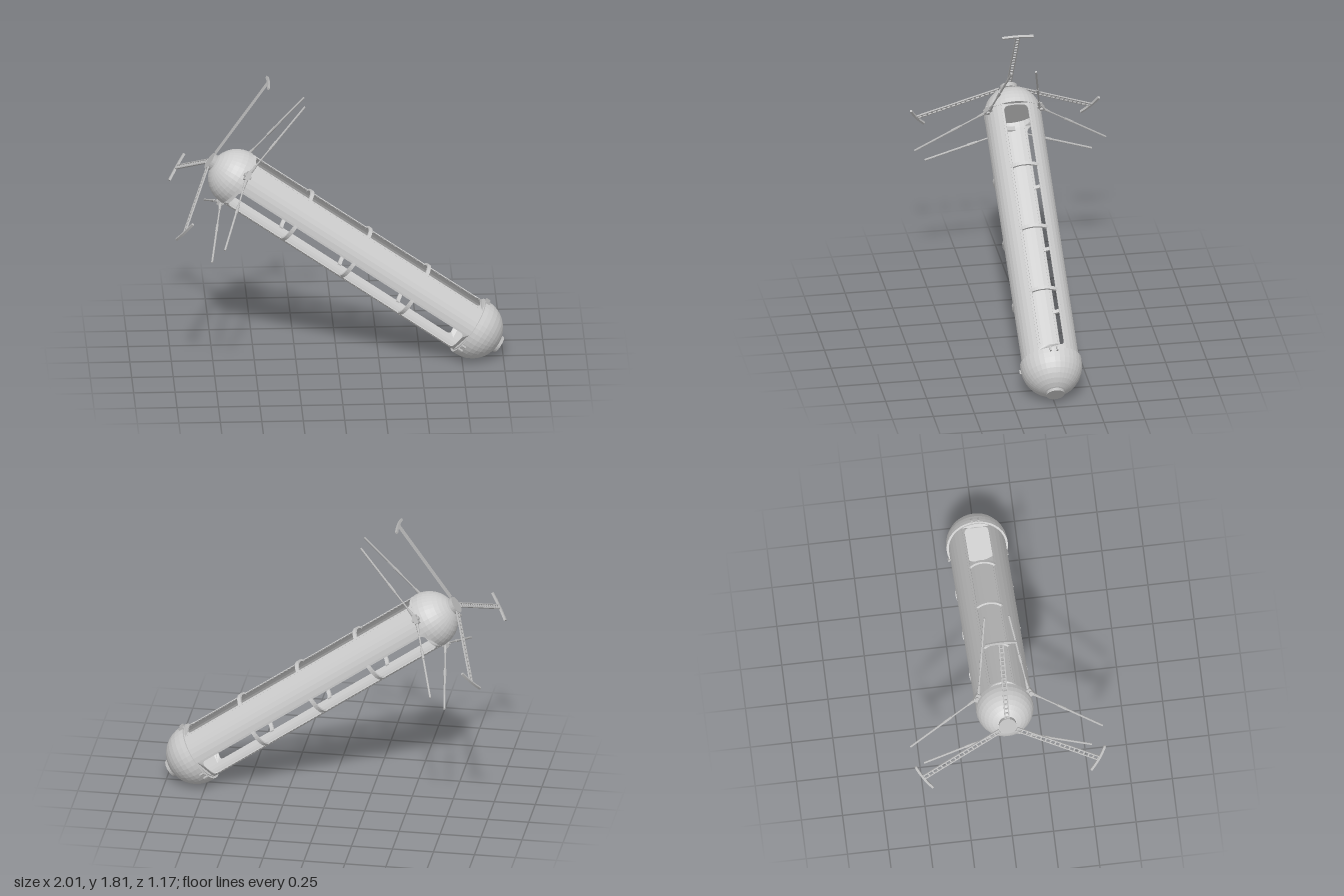
import * as THREE from 'three';

const R = 0.173;              // hull radius
const LEN = 1.735;            // distance between end-cap centres
const THIRD = Math.PI * 2 / 3;

const hull = new THREE.MeshStandardMaterial({ color: 0xcccccc, flatShading: true, side: THREE.DoubleSide });
hull.name = 'light grey hull';
const fitting = new THREE.MeshStandardMaterial({ color: 0xbababa, flatShading: true });
fitting.name = 'mid grey fittings';

function add(parent, name, geometry, material, x = 0, y = 0, z = 0) {
  const mesh = new THREE.Mesh(geometry, material);
  mesh.name = name;
  mesh.position.set(x, y, z);
  parent.add(mesh);
  return mesh;
}

// Curved slab around the Y axis, centred on +x, from y = 0 to y = height
function arcSlab(rIn, rOut, half, height, segments = 6) {
  const pts = [];
  for (let i = 0; i <= segments; i++) {
    const a = -half + 2 * half * i / segments;
    pts.push(new THREE.Vector2(rOut * Math.cos(a), rOut * Math.sin(a)));
  }
  for (let i = segments; i >= 0; i--) {
    const a = -half + 2 * half * i / segments;
    pts.push(new THREE.Vector2(rIn * Math.cos(a), rIn * Math.sin(a)));
  }
  return new THREE.ExtrudeGeometry(new THREE.Shape(pts), { depth: height, bevelEnabled: false }).rotateX(-Math.PI / 2);
}

// Rectangle outline with rounded corners and subdivided ends
function outline(w, y0, y1, r) {
  const pts = [];
  const corner = (cx, cy, start) => {
    for (let i = 0; i <= 4; i++) {
      const a = start + i * Math.PI / 8;
      pts.push(new THREE.Vector2(cx + r * Math.cos(a), cy + r * Math.sin(a)));
    }
  };
  const across = (y, dir) => {
    for (let i = 1; i < 6; i++) pts.push(new THREE.Vector2(dir * (w - r) * (i / 3 - 1), y));
  };
  corner(w - r, y1 - r, 0);
  across(y1, -1);
  corner(-w + r, y1 - r, Math.PI / 2);
  corner(-w + r, y0 + r, Math.PI);
  across(y0, 1);
  corner(w - r, y0 + r, Math.PI * 1.5);
  return pts;
}

// Window frame drawn flat, then wrapped round the hull
function windowFrame() {
  const shape = new THREE.Shape(outline(0.09, -LEN + 0.035, 0, 0.002));
  shape.holes.push(new THREE.Path(outline(0.077, -LEN + 0.06, -0.022, 0.025)));
  const g = new THREE.ExtrudeGeometry(shape, { depth: 0.005, bevelEnabled: false });
  const p = g.attributes.position;
  for (let i = 0; i < p.count; i++) {
    const a = -p.getX(i) / R, r = 0.1678 + p.getZ(i);
    p.setXYZ(i, r * Math.cos(a), p.getY(i), r * Math.sin(a));
  }
  g.computeVertexNormals();
  return g;
}

function rod(parent, name, from, to, r0, r1) {
  const dir = to.clone().sub(from);
  const mesh = add(parent, name, new THREE.CylinderGeometry(r1, r0, dir.length(), 8), fitting);
  mesh.position.copy(from).addScaledVector(dir, 0.5);
  mesh.quaternion.setFromUnitVectors(new THREE.Vector3(0, 1, 0), dir.normalize());
}

// Window with frame, ribs and the closing band beyond its lower end
function buildWindow() {
  const g = new THREE.Group();
  g.name = 'window';
  add(g, 'windowFrame', windowFrame(), hull);
  add(g, 'endBand', arcSlab(0.167, R, Math.PI / 6, 0.035), hull, 0, -LEN, 0);
  // arched ribs, flush at the sides and proud in the middle
  for (let i = 1; i <= 3; i++) {
    add(g, 'windowRib', arcSlab(0.108, 0.121, 0.78, 0.022, 10), hull, 0.064, -0.43 * i - 0.011, 0);
  }
  // paired clamps on the lower collar
  for (const z of [-0.02, 0.02]) {
    add(g, 'collarClamp', new THREE.BoxGeometry(0.02, 0.028, 0.01), fitting, 0.188, -LEN + 0.018, z);
  }
  return g;
}

// Radial ladder mast carrying a curved end bar
function buildMast() {
  const g = new THREE.Group();
  g.name = 'mast';
  for (const z of [-0.012, 0.012]) {
    add(g, 'mastRail', new THREE.BoxGeometry(0.555, 0.009, 0.007), fitting, 0.336, 0.2, z);
  }
  for (let i = 0; i <= 17; i++) {
    add(g, 'mastRung', new THREE.BoxGeometry(0.009, 0.007, 0.024), fitting, 0.064 + i * 0.032, 0.2, 0);
  }
  add(g, 'mastEndBar', arcSlab(0.608, 0.622, 0.155, 0.014, 8), fitting, 0, 0.193, 0);
  return g;
}

// Hinge block with two jointed arms spreading sideways
function buildHinge() {
  const g = new THREE.Group();
  g.name = 'armHinge';
  add(g, 'hingeBlock', new THREE.BoxGeometry(0.045, 0.028, 0.055), fitting, 0.178, -0.005, 0);
  add(g, 'hingePin', new THREE.CylinderGeometry(0.011, 0.011, 0.05, 10), fitting, 0.188, -0.005, 0);
  for (const s of [-1, 1]) {
    const start = new THREE.Vector3(0.185, -0.008, s * 0.02);
    const end = new THREE.Vector3(0.634 * Math.cos(0.93), -0.056, s * 0.634 * Math.sin(0.93));
    const at = t => start.clone().lerp(end, t);
    rod(g, 'armRoot', at(0), at(0.12), 0.011, 0.007);
    rod(g, 'innerArm', at(0.1), at(0.42), 0.005, 0.005);
    rod(g, 'armJoint', at(0.36), at(0.48), 0.008, 0.009);
    rod(g, 'outerArm', at(0.46), at(1), 0.0065, 0.0065);
  }
  return g;
}

export function createModel() {
  const model = new THREE.Group();
  model.name = 'spaceHabitat';
  const body = new THREE.Group();
  body.name = 'habitatCylinder';
  body.position.set(-0.605, 1.183, 0);
  body.rotation.z = THREE.MathUtils.degToRad(54.9);
  model.add(body);

  // three windows with masts, alternating with three solid strips with hinges
  for (let k = 0; k < 3; k++) {
    for (const part of [buildWindow(), buildMast()]) {
      part.rotation.y = k * THIRD;
      body.add(part);
    }
    const strip = add(body, 'wallStrip', arcSlab(0.167, R, Math.PI / 6, LEN), hull, 0, -LEN, 0);
    const hinge = buildHinge();
    strip.rotation.y = hinge.rotation.y = (k + 0.5) * THIRD;
    body.add(hinge);
  }

  // upper dome, its inner bulkhead and the hub
  add(body, 'upperDome', new THREE.SphereGeometry(0.175, 36, 9, 0, Math.PI * 2, 0, Math.PI / 2), hull);
  add(body, 'upperBulkhead', new THREE.CircleGeometry(0.169, 36).rotateX(Math.PI / 2), hull, 0, 0.04, 0);
  add(body, 'upperHub', new THREE.CylinderGeometry(0.053, 0.053, 0.026, 24), fitting, 0, 0.188, 0);

  // lower bowl with its collar, the inner end wall and the docking port
  const profile = [];
  for (let i = 0; i <= 9; i++) {
    const a = i * Math.PI / 18;
    profile.push(new THREE.Vector2(0.186 * Math.sin(a), -0.186 * Math.cos(a)));
  }
  profile.push(new THREE.Vector2(0.186, 0.03), new THREE.Vector2(0.17, 0.03));
  add(body, 'lowerBowl', new THREE.LatheGeometry(profile, 36), hull, 0, -LEN, 0);
  const innerEnd = [[0, -0.06], [0.168, -0.06], [0.168, 0]].map(p => new THREE.Vector2(...p));
  add(body, 'lowerBulkhead', new THREE.LatheGeometry(innerEnd, 36), hull, 0, -LEN, 0);
  add(body, 'dockingPort', new THREE.CylinderGeometry(0.055, 0.055, 0.03, 24), fitting, 0, -LEN - 0.181, 0);
  return model;
}
